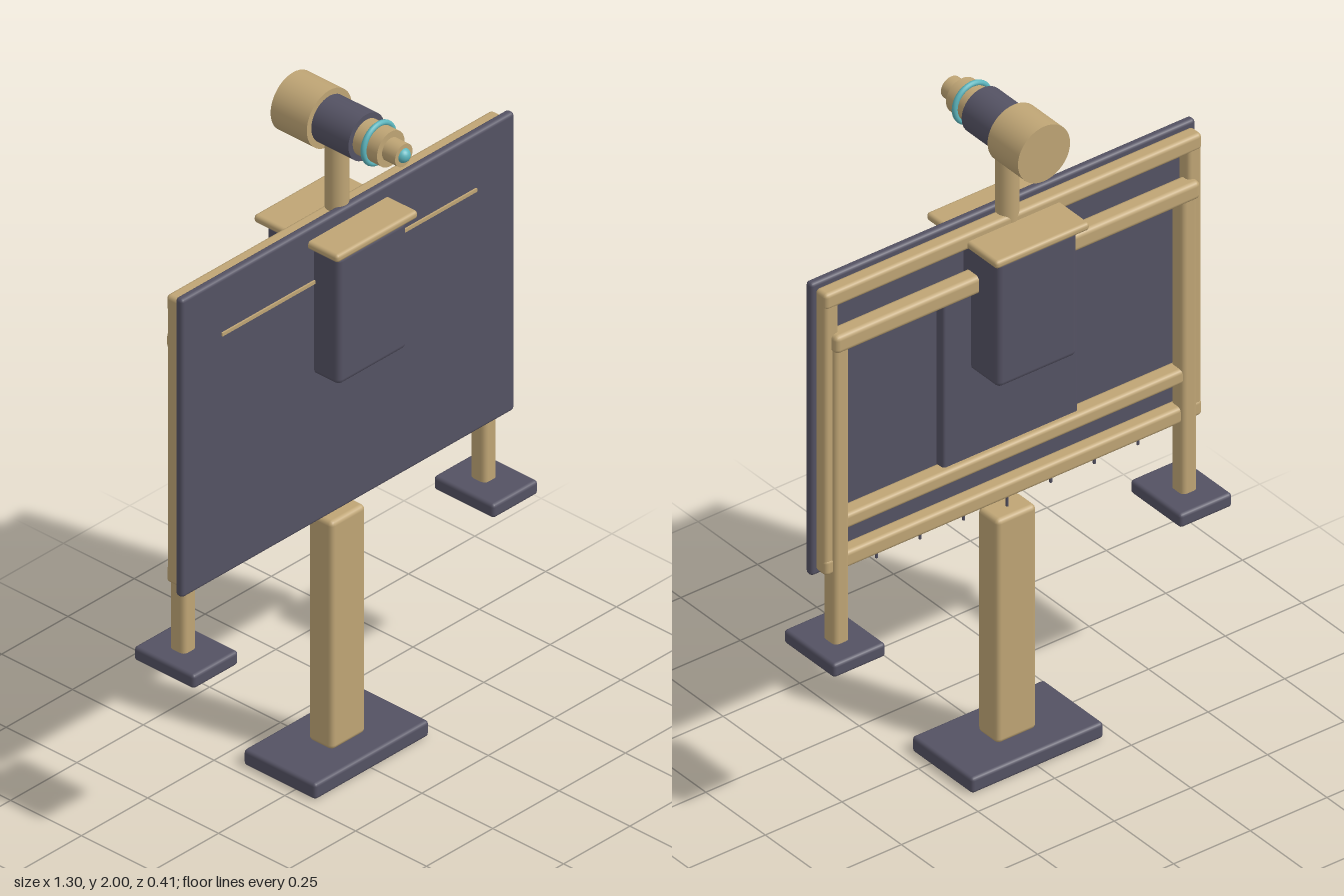
import * as THREE from 'three';
import { RoundedBoxGeometry } from 'three/addons/geometries/RoundedBoxGeometry.js';

export function createModel() {
  const model = new THREE.Group();
  const mat = (name, color) => {
    const m = new THREE.MeshStandardMaterial({ color });
    m.name = name;
    return m;
  };
  const tan = mat('tan', 0xbfa575);
  const dark = mat('darkSlate', 0x545263);
  const teal = mat('teal', 0x5cb5bd);

  const add = (name, geometry, material) => {
    const mesh = new THREE.Mesh(geometry, material);
    mesh.name = name;
    model.add(mesh);
    return mesh;
  };
  // Softly bevelled box given by its ranges on each axis
  const box = (name, m, [x0, x1], [y0, y1], [z0, z1], r = 0.01) =>
    add(name, new RoundedBoxGeometry(x1 - x0, y1 - y0, z1 - z0, 2, r), m)
      .position.set((x0 + x1) / 2, (y0 + y1) / 2, (z0 + z1) / 2);
  // Upright cylinder
  const rod = (name, m, r, x, y0, y1, z, sides = 24) =>
    add(name, new THREE.CylinderGeometry(r, r, y1 - y0, sides), m).position.set(x, (y0 + y1) / 2, z);

  // Base and central post
  box('base', dark, [-0.215, 0.215], [0, 0.048], [-0.18, 0.075], 0.01);
  box('post', tan, [-0.065, 0.065], [0.045, 0.74], [-0.093, -0.007], 0.014);

  // Front board with its thin marking line
  box('board', dark, [-0.627, 0.627], [0.768, 1.676], [-0.035, -0.009], 0.01);
  const line = add('boardLine', new THREE.BoxGeometry(0.96, 0.01, 0.008), tan);
  line.position.set(0, 1.507, -0.008);

  // Rear panel
  box('rearPanel', dark, [-0.22, 0.22], [0.94, 1.49], [-0.066, -0.03], 0.008);

  // Rear frame rails
  box('topRail', tan, [-0.615, 0.615], [1.61, 1.66], [-0.08, -0.033], 0.012);
  box('bottomRail', tan, [-0.615, 0.615], [0.785, 0.835], [-0.08, -0.033], 0.012);
  box('upperCrossRail', tan, [-0.595, 0.595], [1.475, 1.53], [-0.1, -0.045], 0.014);
  box('lowerCrossRail', tan, [-0.575, 0.575], [0.91, 0.955], [-0.085, -0.033], 0.012);

  // Frame uprights, side legs and foot pads
  for (const s of [-1, 1]) {
    const span = (c, w) => [s * c - w / 2, s * c + w / 2];
    box('frameUpright', tan, span(0.592, 0.046), [0.785, 1.66], [-0.078, -0.033], 0.012);
    box('sideLeg', tan, span(0.567, 0.05), [0.485, 1.5], [-0.09, -0.036], 0.014);
    box('footPad', dark, span(0.565, 0.17), [0.528, 0.57], [-0.16, 0.053], 0.01);
  }

  // Small pins below the board
  for (let i = -3; i <= 3; i++)
    rod('pin', dark, 0.004, i * 0.142, i === 0 ? 0.735 : 0.755, 0.79, -0.05, 8);

  // Control housing through the board, with cap and lower socket
  box('housing', dark, [-0.13, 0.13], [1.223, 1.612], [-0.18, 0.078], 0.016);
  box('housingCap', tan, [-0.153, 0.153], [1.614, 1.638], [-0.203, 0.095], 0.01);
  rod('socket', tan, 0.038, 0, 1.2, 1.225, -0.05);
  rod('socketCore', dark, 0.025, 0, 1.196, 1.225, -0.05);

  // Mast
  rod('mast', tan, 0.032, 0, 1.63, 1.88, -0.05);

  // Stepped scope pointing forward
  const axisY = 1.915;
  const barrel = (name, m, r, z0, z1) => {
    const mesh = add(name, new THREE.CylinderGeometry(r, r, z1 - z0, 40), m);
    mesh.rotation.x = Math.PI / 2;
    mesh.position.set(0, axisY, (z0 + z1) / 2);
  };
  barrel('scopeRear', tan, 0.085, -0.205, -0.077);
  barrel('scopeBody', dark, 0.068, -0.08, 0.054);
  barrel('scopeNeck', tan, 0.052, 0.05, 0.14);
  barrel('scopeTip', tan, 0.033, 0.138, 0.186);
  add('scopeRing', new THREE.TorusGeometry(0.057, 0.008, 12, 40), teal).position.set(0, axisY, 0.097);
  add('scopeLens', new THREE.SphereGeometry(0.021, 24, 16), teal).position.set(0, axisY, 0.182);

  return model;
}
